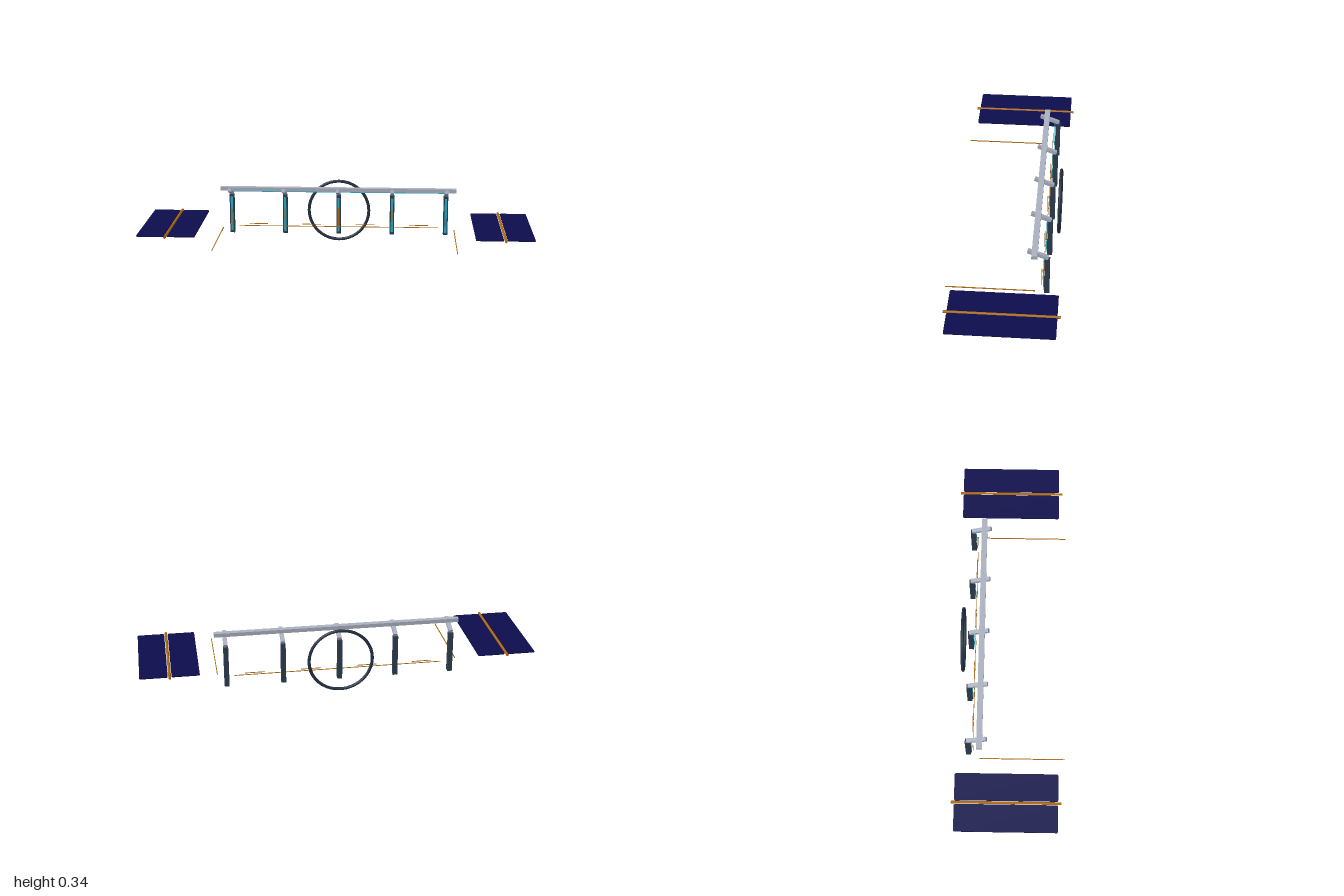
import * as THREE from 'three';

const mat = (name, color) => {
  const m = new THREE.MeshStandardMaterial({ color });
  m.name = name;
  return m;
};

export function createModel() {
  const silver = mat('silver', 0xabb1c1);
  const slate = mat('slate', 0x2f3e50);
  const darkSlate = mat('dark slate', 0x243244);
  const navy = mat('navy', 0x0c0c4c);
  const copper = mat('copper', 0xad6a12);
  const cyan = mat('cyan', 0x20b4d4);

  const model = new THREE.Group();
  model.name = 'station';

  const add = (parent, name, geometry, material, x, y, z) => {
    const mesh = new THREE.Mesh(geometry, material);
    mesh.name = name;
    mesh.position.set(x, y, z);
    parent.add(mesh);
    return mesh;
  };
  const box = (parent, name, size, material, x, y, z) =>
    add(parent, name, new THREE.BoxGeometry(...size), material, x, y, z);

  // Main beam with a light strip below
  box(model, 'mainBeam', [1.244, 0.019, 0.029], silver, 0, 0.307, -0.146);
  box(model, 'beamLightStrip', [1.14, 0.005, 0.008], cyan, 0, 0.295, -0.142);

  // Five hanging posts, each on a tilted arm
  for (let i = -2; i <= 2; i++) {
    const bay = new THREE.Group();
    bay.name = 'post';
    bay.position.x = i * 0.285;
    model.add(bay);
    box(bay, 'postBody', [0.024, 0.211, 0.026], slate, 0, 0.158, -0.206);
    const arm = box(bay, 'postArm', [0.02, 0.018, 0.105], silver, 0, 0.288, -0.161);
    arm.rotation.x = -0.365;
    box(bay, 'postLight', [0.012, 0.185, 0.003], cyan, 0, 0.158, -0.1895);
    box(bay, 'postConduit', [0.004, 0.101, 0.003], copper, 0, 0.145, -0.181);
  }

  // Cable along the posts and a short bar in every gap
  box(model, 'cable', [1.06, 0.003, 0.003], copper, 0, 0.094, -0.184);
  for (let i = -1.5; i <= 1.5; i++) {
    box(model, 'cableBar', [0.1, 0.003, 0.003], copper, i * 0.285, 0.105, -0.187);
  }

  // Ring at the back
  const ring = new THREE.TorusGeometry(0.1605, 0.008, 8, 40);
  add(model, 'ring', ring, darkSlate, 0, 0.1685, -0.245);

  // One panel half with clipped corners, lying flat
  const w = 0.069, d = 0.259, c = 0.005;
  const outline = new THREE.Shape([
    [-w + c, -d], [w - c, -d], [w, -d + c], [w, d - c],
    [w - c, d], [-w + c, d], [-w, d - c], [-w, -d + c],
  ].map(([x, y]) => new THREE.Vector2(x, y)));
  const panel = new THREE.ExtrudeGeometry(outline, { depth: 0.005, bevelEnabled: false });
  panel.translate(0, 0, -0.0025).rotateX(-Math.PI / 2);

  // Side booms and solar wings
  for (const s of [-1, 1]) {
    box(model, 'sideBoom', [0.004, 0.004, 0.435], copper, s * 0.613, 0.092, 0.0675);
    const wing = new THREE.Group();
    wing.name = 'solarWing';
    wing.position.set(s * 0.8525, 0.151, -0.01);
    model.add(wing);
    const spar = new THREE.CylinderGeometry(0.0068, 0.0068, 0.55, 8).rotateX(Math.PI / 2);
    add(wing, 'wingSpar', spar, copper, 0, 0, 0.001);
    for (const side of [-1, 1]) {
      add(wing, 'solarPanel', panel, navy, side * 0.0785, 0, 0);
    }
  }

  return model;
}
